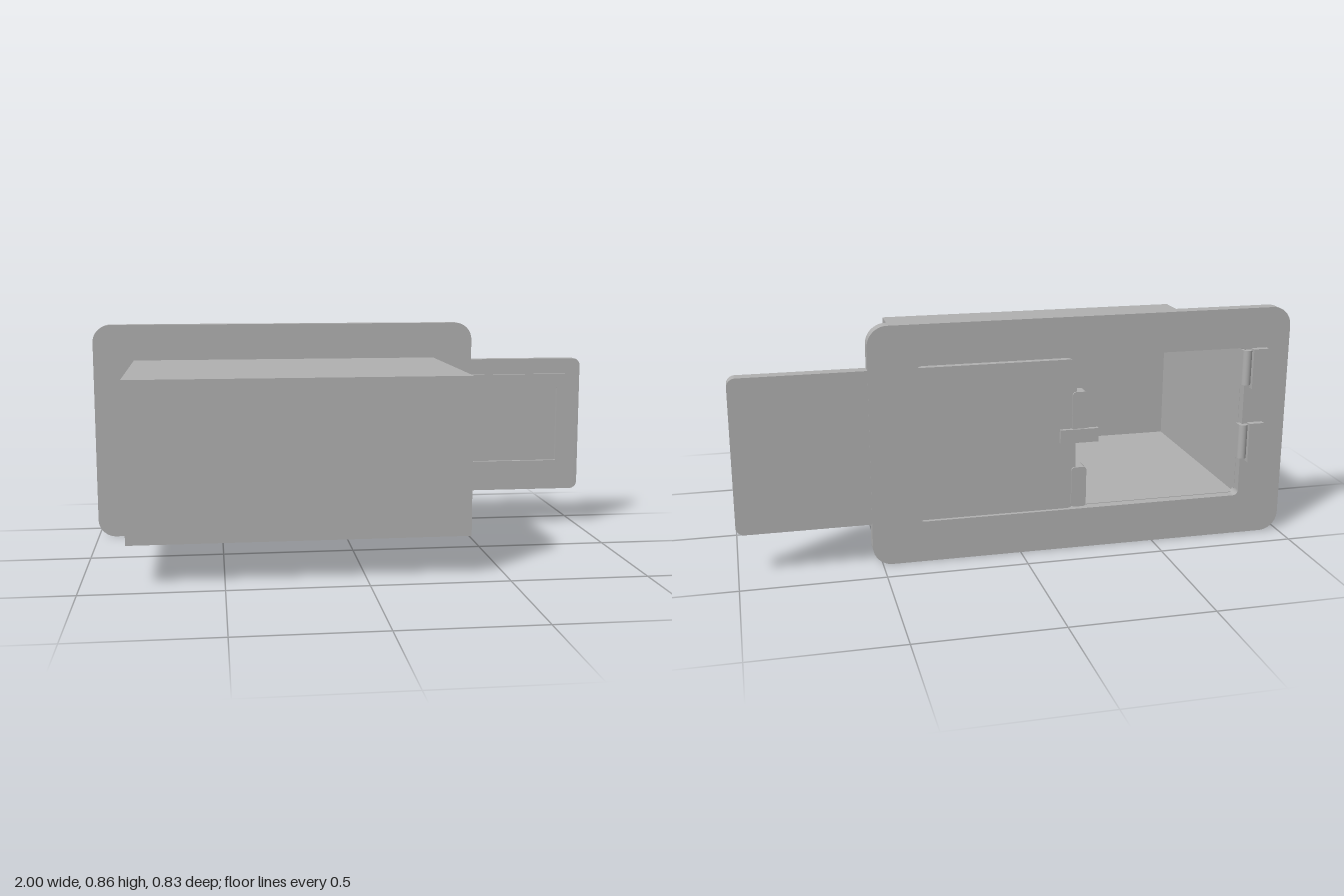
import * as THREE from 'three';

const grey = new THREE.MeshStandardMaterial({ color: 0xb0b0b0 });
grey.name = 'grey';

// Rounded rectangle outline, usable as a shape or a hole
function roundRect(path, x0, x1, y0, y1, r) {
  path.moveTo(x0 + r, y0);
  path.lineTo(x1 - r, y0);
  path.absarc(x1 - r, y0 + r, r, -Math.PI / 2, 0, false);
  path.lineTo(x1, y1 - r);
  path.absarc(x1 - r, y1 - r, r, 0, Math.PI / 2, false);
  path.lineTo(x0 + r, y1);
  path.absarc(x0 + r, y1 - r, r, Math.PI / 2, Math.PI, false);
  path.lineTo(x0, y0 + r);
  path.absarc(x0 + r, y0 + r, r, Math.PI, Math.PI * 1.5, false);
  return path;
}

export function createModel() {
  const model = new THREE.Group();
  model.name = 'slidingDoorBox';

  const add = (name, geometry) => {
    const mesh = new THREE.Mesh(geometry, grey);
    mesh.name = name;
    model.add(mesh);
    return mesh;
  };
  const box = (name, x0, x1, y0, y1, z0, z1) => {
    const mesh = add(name, new THREE.BoxGeometry(x1 - x0, y1 - y0, z1 - z0));
    mesh.position.set((x0 + x1) / 2, (y0 + y1) / 2, (z0 + z1) / 2);
  };
  const slab = (name, shape, z0, z1) => {
    const geometry = new THREE.ExtrudeGeometry(shape, { depth: z1 - z0, bevelEnabled: false, curveSegments: 10 });
    add(name, geometry).position.z = z0;
  };

  // Mounting plate with the opening into the box
  const plate = roundRect(new THREE.Shape(), -1, 0.535, 0, 0.86, 0.07);
  plate.holes.push(roundRect(new THREE.Path(), -0.835, 0.37, 0.15, 0.715, 0.02));
  slab('mountingPlate', plate, -0.394, -0.345);

  // Hollow box, open at the back
  const [l, r, b, t, back, front, w] = [-0.84, 0.375, 0.146, 0.718, -0.36, 0.415, 0.006];
  box('boxFloor', l, r, b, b + w, back, front);
  box('boxCeiling', l, r, t - w, t, back, front);
  box('boxRightWall', l, l + w, b + w, t - w, back, front);
  box('boxLeftWall', r - w, r, b + w, t - w, back, front);
  box('boxFrontWall', l + w, r - w, b + w, t - w, front - w, front);

  // Sliding door, drawn half open
  slab('slidingDoor', roundRect(new THREE.Shape(), -0.2, 1, 0.155, 0.708, 0.03), -0.392, -0.347);

  // Raised rim on the front of the door
  const rim = roundRect(new THREE.Shape(), -0.15, 0.953, 0.22, 0.645, 0.008);
  rim.holes.push(roundRect(new THREE.Path(), -0.1, 0.9, 0.28, 0.59, 0.002));
  slab('doorRim', rim, -0.348, -0.331);

  // Door edge tabs and latch bar
  for (const [y0, y1] of [[0.435, 0.59], [0.16, 0.31]]) {
    slab('doorTab', roundRect(new THREE.Shape(), -0.24, -0.185, y0, y1, 0.012), -0.398, -0.347);
  }
  box('latchBar', -0.28, -0.14, 0.405, 0.455, -0.406, -0.39);

  // Catches on the plate beside the opening: a block and a rounded lip
  for (const y of [0.64, 0.36]) {
    box('catchBlock', -0.912, -0.855, y - 0.075, y + 0.073, -0.417, -0.393);
    const lip = add('catchLip', new THREE.CylinderGeometry(0.017, 0.017, 0.128, 20));
    lip.position.set(-0.837, y + 0.004, -0.399);
    box('catchBase', -0.854, -0.82, y - 0.06, y + 0.068, -0.399, -0.375);
  }
  return model;
}
